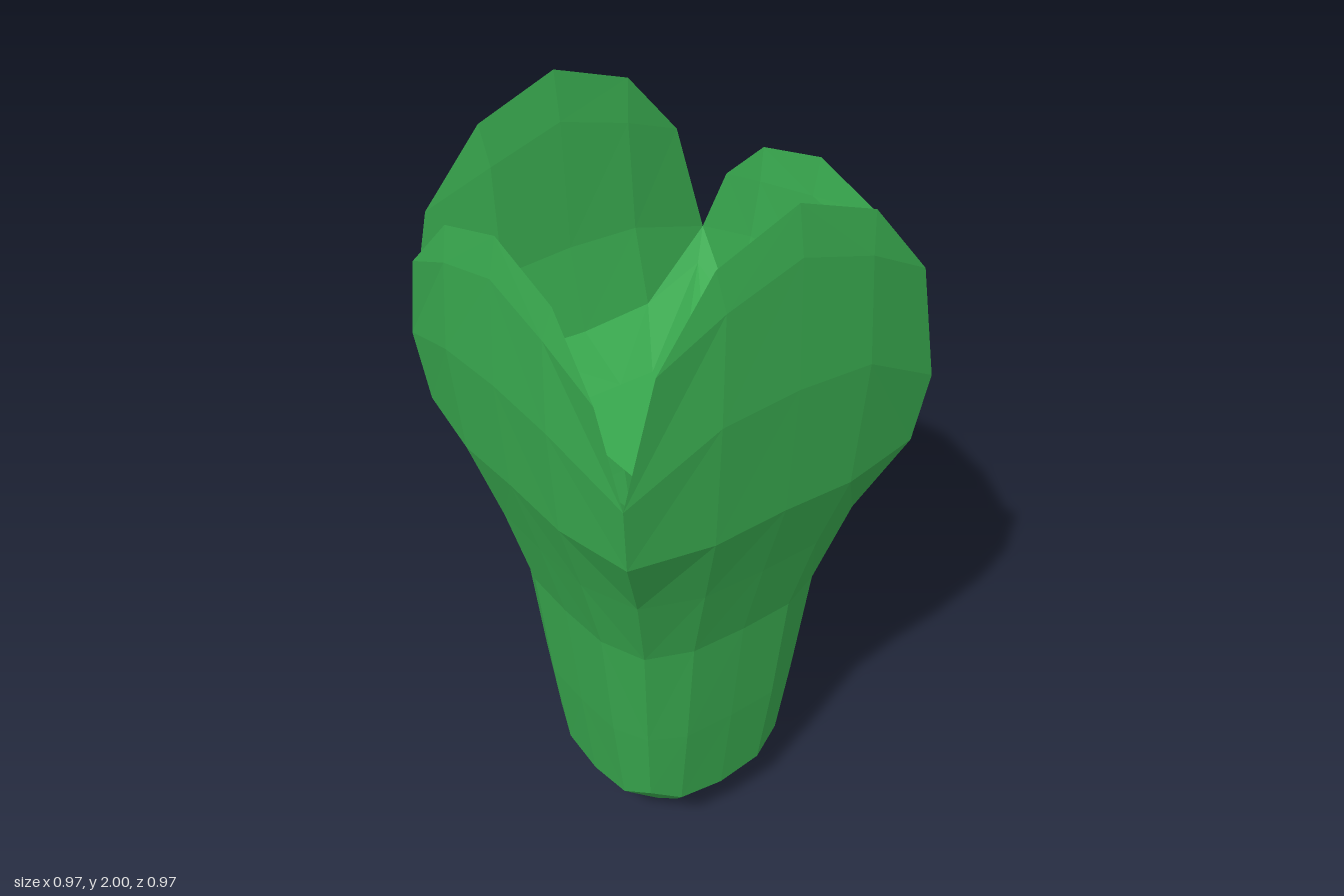
import * as THREE from 'three';

// Cross-sections of one petal, from the base up the outside, over the rim and down the inside.
// Each row: middle, quarter and edge points as [half width, height, distance from axis].
function petalRows(top) {
  const up = (k) => 1.21 + (top - 1.21) * k; // heights that stretch with the petal
  const rim = [0.37, up(0.65), 0.462];
  const crotch = [0.444, 1.4, 0.444];
  return [
    [[0, 0, 0], [0, 0, 0], [0, 0, 0]],
    [[0, 0.02, 0.14], [0.07, 0.025, 0.14], [0.125, 0.05, 0.125]],
    [[0, 0.14, 0.245], [0.13, 0.155, 0.24], [0.213, 0.2, 0.213]],
    [[0, 0.42, 0.282], [0.14, 0.42, 0.277], [0.237, 0.43, 0.237]],
    [[0, 0.75, 0.32], [0.15, 0.75, 0.314], [0.267, 0.75, 0.267]],
    [[0, 0.98, 0.385], [0.17, 0.98, 0.38], [0.33, 0.99, 0.33]],
    [[0, 1.21, 0.457], [0.2, 1.2, 0.454], [0.42, 1.21, 0.42]],
    [[0, up(0.44), 0.484], [0.21, up(0.42), 0.482], crotch],
    [[0, up(0.85), 0.474], [0.2, up(0.77), 0.474], rim],
    [[0, top, 0.455], [0.215, up(0.895), 0.455], rim],
    [[0, up(0.83), 0.435], [0.2, up(0.75), 0.435], rim],
    [[0, 1.5, 0.41], [0.2, 1.49, 0.41], crotch],
    [[0, 1.28, 0.355], [0.2, 1.29, 0.357], [0.38, 1.34, 0.38]],
    [[0, 1.2, 0.2], [0.1, 1.2, 0.2], [0.2, 1.2, 0.2]],
    [[0, 1.2, 0], [0, 1.2, 0], [0, 1.2, 0]],
  ];
}

function petalGeometry(top) {
  // Mirror each half row into five columns
  const rows = petalRows(top).map(([m, q, e]) => {
    const flip = ([x, y, z]) => [-x, y, z];
    return [flip(e), flip(q), m, q, e];
  });
  const pos = [];
  const same = (a, b) => a.every((v, i) => Math.abs(v - b[i]) < 1e-6);
  const tri = (a, b, c) => {
    if (!same(a, b) && !same(b, c) && !same(a, c)) pos.push(...a, ...b, ...c);
  };
  for (let r = 0; r < rows.length - 1; r++) {
    for (let c = 0; c < 4; c++) {
      const [a, b, d, e] = [rows[r][c], rows[r][c + 1], rows[r + 1][c + 1], rows[r + 1][c]];
      if (c < 2) {
        tri(a, b, d);
        tri(a, d, e);
      } else {
        tri(a, b, e);
        tri(b, d, e);
      }
    }
  }
  const geo = new THREE.BufferGeometry();
  geo.setAttribute('position', new THREE.Float32BufferAttribute(pos, 3));
  geo.computeVertexNormals();
  return geo;
}

export function createModel() {
  const model = new THREE.Group();
  model.name = 'flowerBud';
  const green = new THREE.MeshStandardMaterial({ color: 0x38a84e, flatShading: true });
  green.name = 'leafGreen';

  // Four petals of different heights around the axis, joined at their edges
  const petals = [['frontPetal', 1.87], ['leftPetal', 2], ['backPetal', 1.78], ['rightPetal', 1.96]];
  petals.forEach(([name, top], i) => {
    const petal = new THREE.Mesh(petalGeometry(top), green);
    petal.name = name;
    petal.rotation.y = (i * Math.PI) / 2;
    model.add(petal);
  });
  return model;
}
